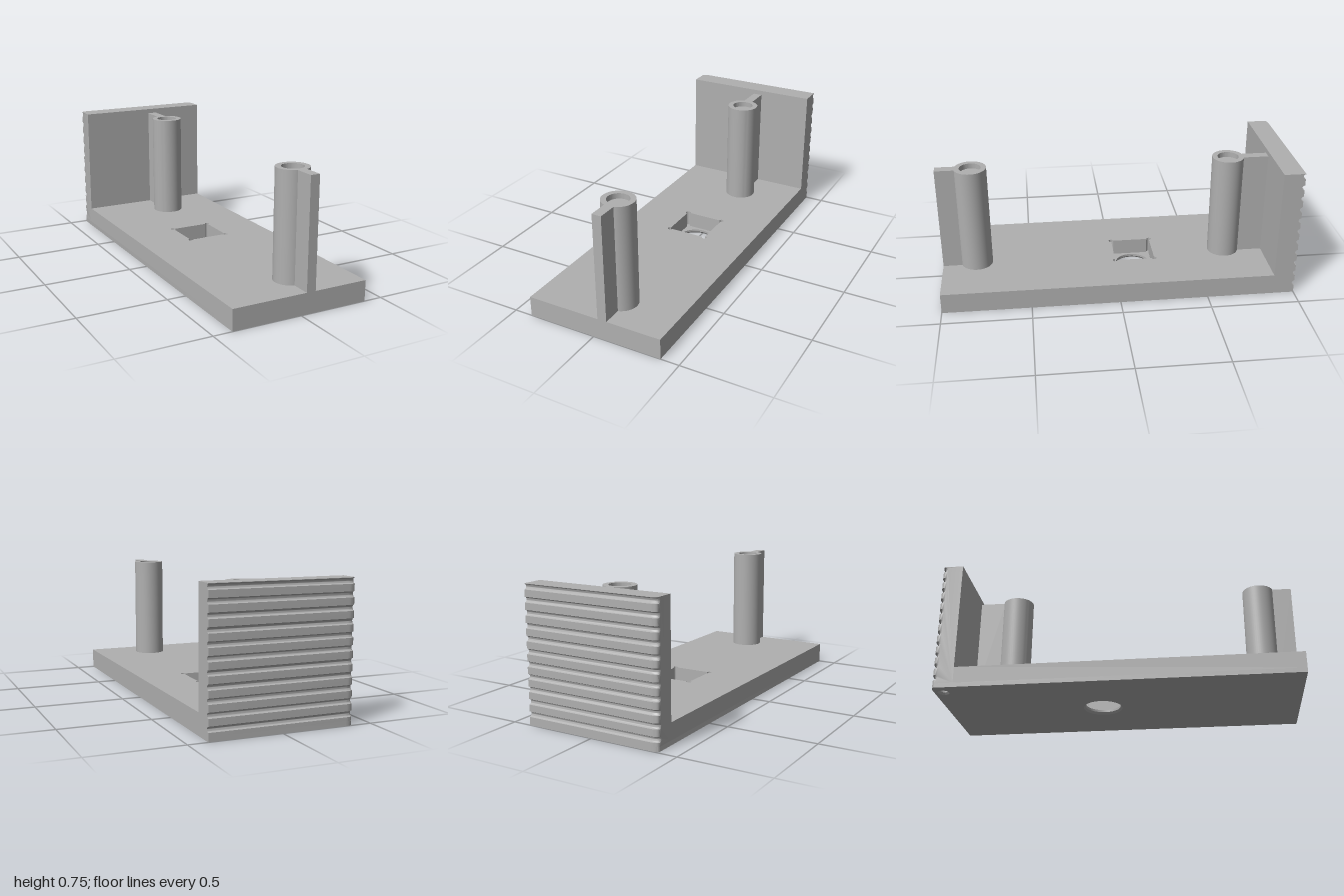
import * as THREE from 'three';
import { toCreasedNormals } from 'three/addons/utils/BufferGeometryUtils.js';

const W = 0.395;           // half width
const FLOOR = 0.025;       // underside layer thickness
const BASE = 0.117;        // base height
const WALL_Z = -0.88;      // inner face of the back wall
const ROUND = [0.04, 0.018]; // rounding of the right rear corner (x, z)

const grey = new THREE.MeshStandardMaterial({ color: 0xb0b0b0 });
grey.name = 'grey plastic';

export function createModel() {
  const group = new THREE.Group();
  const add = (name, geo) => {
    const mesh = new THREE.Mesh(toCreasedNormals(geo, 0.5), grey);
    mesh.name = name;
    group.add(mesh);
    return mesh;
  };
  // extrude an x-z outline between two heights
  const slab = (shape, y0, y1) =>
    new THREE.ExtrudeGeometry(shape, { depth: y1 - y0, bevelEnabled: false, curveSegments: 24 })
      .rotateX(Math.PI / 2).translate(0, y1, 0);
  const lathe = (pts, x, z) =>
    new THREE.LatheGeometry(pts.map(p => new THREE.Vector2(...p)), 48).translate(x, 0, z);
  const circle = (x, z, r) => new THREE.Path().absarc(x, z, r, 0, Math.PI * 2);

  // Underside layer with the round opening and a small blind hole
  const under = new THREE.Shape();
  under.moveTo(W, -1).lineTo(W, 1).lineTo(-W, 1).lineTo(-W, -1 + ROUND[1]);
  under.absellipse(-W + ROUND[0], -1 + ROUND[1], ROUND[0], ROUND[1], Math.PI, Math.PI * 1.5);
  under.closePath();
  const holes = [
    { name: 'lensHole', x: 0.007, z: -0.115, r: 0.1, lip: 0.01 },
    { name: 'smallHole', x: -0.318, z: -0.95, r: 0.024, lip: 0.008 },
  ];
  for (const h of holes) under.holes.push(circle(h.x, h.z, h.r + h.lip));
  add('baseUnderside', slab(under, 0, FLOOR));

  // Chamfered rims of the underside holes
  for (const { name, x, z, r, lip } of holes)
    add(name + 'Rim', lathe([[r + lip, FLOOR], [r, FLOOR], [r, 0.012], [r + lip, 0]], x, z));

  // Upper base layer with a square pocket and corner reliefs
  const upper = new THREE.Shape();
  upper.moveTo(-W, WALL_Z).lineTo(W, WALL_Z).lineTo(W, 1).lineTo(-W, 1).closePath();
  const pocket = new THREE.Path(), half = 0.116, q = Math.PI / 2;
  [[1, 1], [-1, 1], [-1, -1], [1, -1]].forEach(([sx, sz], k) =>
    pocket.absarc(0.009 + sx * half, -0.114 + sz * half, 0.014, (k - 1) * q, (k + 2) * q));
  pocket.closePath();
  upper.holes.push(pocket);
  add('basePlate', slab(upper, FLOOR, BASE));

  // Back wall: side profile with round grip grooves, extruded across the width
  const profile = new THREE.Shape();
  profile.moveTo(WALL_Z, 0.747).lineTo(-1, 0.747);
  for (let i = 10; i >= 0; i--)
    profile.absellipse(-1, 0.06 + i * 0.067, 0.014, 0.015, Math.PI / 2, -Math.PI / 2, true);
  profile.lineTo(-1, FLOOR).lineTo(WALL_Z, FLOOR).closePath();
  const steps = 8;
  const wall = new THREE.ExtrudeGeometry(profile, { depth: steps, steps, bevelEnabled: false, curveSegments: 10 })
    .rotateY(-Math.PI / 2);
  // place the slices, closing in on the rounded rear corner
  const p = wall.attributes.position;
  for (let i = 0; i < p.count; i++) {
    const slice = Math.round(-p.getX(i));
    const a = slice ? ((slice - 1) / (steps - 1)) * q : 0;
    p.setX(i, slice ? -W + ROUND[0] * (1 - Math.sin(a)) : W);
    if (p.getZ(i) < -0.95) p.setZ(i, p.getZ(i) + ROUND[1] * (1 - Math.cos(a)));
  }
  wall.deleteAttribute('normal');
  wall.computeVertexNormals();
  add('backWall', wall);

  // Screw posts, each with a web reaching the end of the base
  const postX = 0.056, top = 0.72;
  for (const [name, z, z0, z1] of [['front', 0.805, 0.885, 1], ['rear', -0.652, WALL_Z, -0.732]]) {
    add(name + 'Post', lathe(
      [[0.09, BASE], [0.09, top], [0.06, top], [0.06, top - 0.03], [0, top - 0.03]], postX, z));
    add(name + 'Web', new THREE.BoxGeometry(0.053, top - BASE, z1 - z0)
      .translate(postX, (top + BASE) / 2, (z0 + z1) / 2));
  }
  return group;
}
